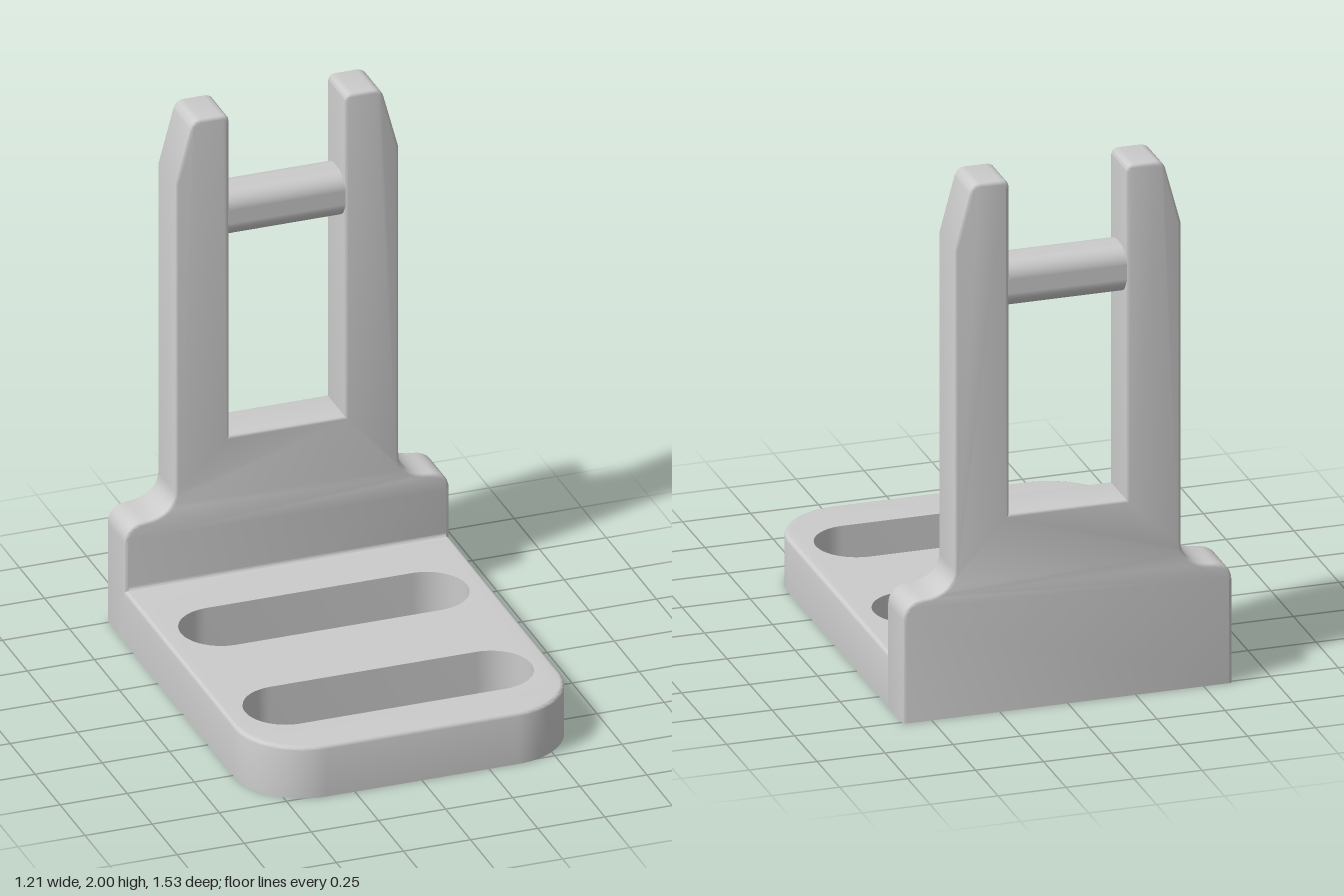
import * as THREE from 'three';
import { toCreasedNormals } from 'three/addons/utils/BufferGeometryUtils.js';
import { RoundedBoxGeometry } from 'three/addons/geometries/RoundedBoxGeometry.js';

const material = new THREE.MeshStandardMaterial({ color: 0xcccccc });
const HALF_W = 0.605, FRONT = 0.765, BACK = -0.765, WALL = 0.18, BASE_H = 0.2, EDGE = 0.014;
const WALL_FRONT = BACK + WALL;

function part(name, geometry) {
  const mesh = new THREE.Mesh(toCreasedNormals(geometry, 0.6), material);
  mesh.name = name;
  return mesh;
}

// Rule that moves every vertex of a geometry
function moveVertices(geometry, rule) {
  const p = geometry.attributes.position, v = new THREE.Vector3();
  for (let i = 0; i < p.count; i++) {
    v.fromBufferAttribute(p, i);
    rule(v);
    p.setXYZ(i, v.x, v.y, v.z);
  }
  return geometry;
}

// Base plate, drawn in plan with shape y = -z
function basePlate() {
  const r = 0.25, back = 0.6;
  const plan = new THREE.Shape();
  plan.moveTo(HALF_W, back);
  plan.lineTo(-HALF_W, back);
  plan.lineTo(-HALF_W, -FRONT + r);
  plan.absarc(-HALF_W + r, -FRONT + r, r, Math.PI, Math.PI * 1.5, false);
  plan.absarc(HALF_W - r, -FRONT + r, r, Math.PI * 1.5, Math.PI * 2, false);
  plan.closePath();
  // Two long slots with round ends
  for (const z of [-0.218, 0.425]) {
    const slot = new THREE.Path();
    slot.absarc(0.383, -z, 0.15, -Math.PI / 2, Math.PI / 2, false);
    slot.absarc(-0.383, -z, 0.15, Math.PI / 2, Math.PI * 1.5, false);
    slot.closePath();
    plan.holes.push(slot);
  }
  const layers = 4;
  const g = new THREE.ExtrudeGeometry(plan, { depth: layers, steps: layers, bevelEnabled: false, curveSegments: 14 });
  g.rotateX(-Math.PI / 2);
  // Gather the layers near the top and draw the outer rim in to round it
  return moveVertices(g, (v) => {
    const layer = Math.round(v.y);
    const a = layer ? ((layer - 1) / (layers - 1)) * Math.PI / 2 : 0;
    v.y = layer ? BASE_H - EDGE + EDGE * Math.sin(a) : 0;
    if (Math.abs(v.x) < 0.56 && v.z < 0.6) return;
    const core = HALF_W - r;
    const cx = THREE.MathUtils.clamp(v.x, -core, core), cz = Math.min(v.z, FRONT - r);
    const dx = v.x - cx, dz = v.z - cz, d = Math.hypot(dx, dz);
    const inset = EDGE * (1 - Math.cos(a));
    v.x -= (dx / d) * inset;
    v.z -= (dz / d) * inset;
  });
}

// Upright plate with shoulders and two tapered prongs
function upright() {
  const s = new THREE.Shape();
  s.moveTo(-HALF_W, 0);
  s.lineTo(HALF_W, 0);
  s.lineTo(HALF_W, 0.385);
  s.bezierCurveTo(HALF_W, 0.43, 0.575, 0.457, 0.53, 0.459);
  s.bezierCurveTo(0.46, 0.462, 0.417, 0.5, 0.417, 0.555);
  s.lineTo(0.417, 1.76);
  s.lineTo(0.362, 1.965);
  s.quadraticCurveTo(0.352, 2, 0.32, 2);
  s.lineTo(0.245, 2);
  s.quadraticCurveTo(0.215, 2, 0.215, 1.97);
  s.lineTo(0.215, 0.74);
  s.lineTo(-0.215, 0.74);
  s.lineTo(-0.215, 1.97);
  s.quadraticCurveTo(-0.215, 2, -0.245, 2);
  s.lineTo(-0.32, 2);
  s.quadraticCurveTo(-0.352, 2, -0.362, 1.965);
  s.lineTo(-0.417, 1.76);
  s.lineTo(-0.417, 0.555);
  s.bezierCurveTo(-0.417, 0.5, -0.46, 0.462, -0.53, 0.459);
  s.bezierCurveTo(-0.575, 0.457, -HALF_W, 0.43, -HALF_W, 0.385);
  s.closePath();
  const b = 0.012;
  const g = new THREE.ExtrudeGeometry(s, {
    depth: WALL - 2 * b, bevelThickness: b, bevelSize: b, bevelOffset: -b, bevelSegments: 3, curveSegments: 8,
  });
  g.translate(0, 0, BACK + b);
  // Keep the underside flat and sharp
  return moveVertices(g, (v) => { if (v.y < 0.03) v.y = 0; });
}

// Small concave fillet where plate and upright meet
function cornerFillet() {
  const r = 0.015, o = -0.005, s = new THREE.Shape();
  s.moveTo(o, o);
  s.lineTo(r, o);
  s.lineTo(r, 0);
  s.absarc(r, r, r, Math.PI * 1.5, Math.PI, true);
  s.lineTo(o, r);
  s.closePath();
  const w = 2 * (HALF_W - EDGE);
  const g = new THREE.ExtrudeGeometry(s, { depth: w, bevelEnabled: false, curveSegments: 5 });
  g.translate(0, 0, -w / 2);
  g.rotateY(-Math.PI / 2);
  return g.translate(0, BASE_H, WALL_FRONT);
}

export function createModel() {
  const group = new THREE.Group();
  group.name = 'slottedBracket';
  group.add(part('basePlate', basePlate()));
  group.add(part('upright', upright()));
  group.add(part('cornerFillet', cornerFillet()));

  // Rounded bar between the prongs, its ends buried in them
  const bar = new THREE.Mesh(new RoundedBoxGeometry(0.56, 0.172, 0.172, 5, 0.06), material);
  bar.name = 'crossBar';
  bar.position.set(0, 1.596, BACK + WALL / 2);
  group.add(bar);
  return group;
}
